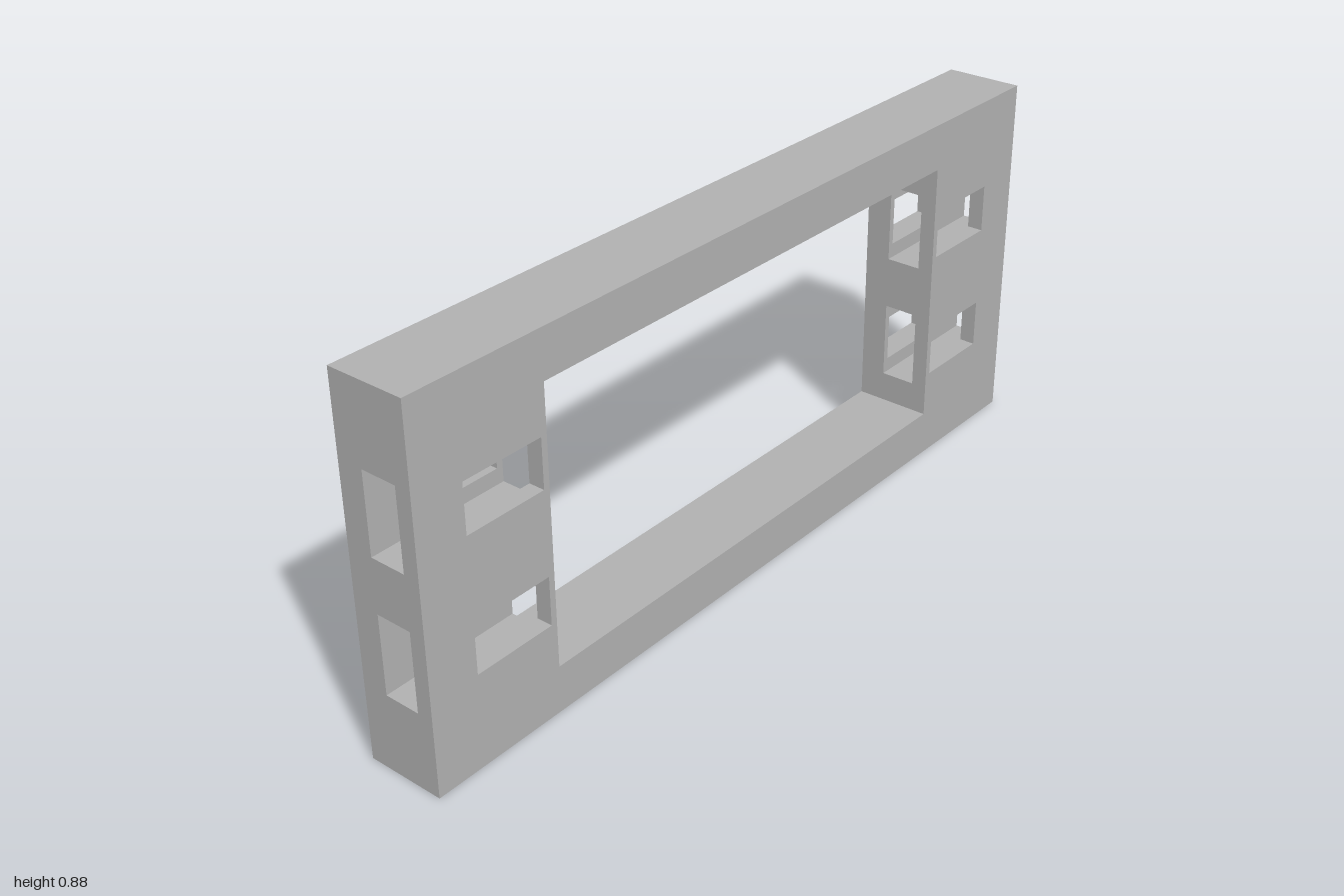
import * as THREE from 'three';
import { mergeGeometries } from 'three/addons/utils/BufferGeometryUtils.js';

// Main dimensions
const W = 1, H = 0.877, D = 0.0945;               // half width, height, half depth
const WIN = { x: 0.66, y0: 0.112, y1: 0.765 };    // central window
const SLOT = { x0: 0.675, x1: 0.878, h: 0.058 };  // front-to-back slots
const TUN = { z0: -0.031, z1: 0.056, h: 0.094 };  // sideways tunnels
const LEVELS = [0.28, 0.595];                     // heights of both openings

// Rectangle [u0, v0, u1, v1] as a point loop
const loop = ([a, b, c, d]) => [[a, b], [c, b], [c, d], [a, d]].map(p => new THREE.Vector2(...p));

// Flat wall at a coordinate of one axis, facing sign; (u, v) are z: xy, x: yz, y: zx
function wall(axis, sign, at, rect, holes = []) {
  const shape = new THREE.Shape(loop(rect));
  holes.forEach(h => shape.holes.push(new THREE.Path(loop(h))));
  const g = new THREE.ShapeGeometry(shape);
  const X = new THREE.Vector3(1, 0, 0), Y = new THREE.Vector3(0, 1, 0), Z = new THREE.Vector3(0, 0, 1);
  const basis = { x: [Y, Z, X], y: [Z, X, Y], z: [X, Y, Z] }[axis];
  g.translate(0, 0, at);
  g.applyMatrix4(new THREE.Matrix4().makeBasis(...basis));
  if (sign < 0) g.index.array.reverse();
  g.computeVertexNormals();
  return g;
}

// Four walls of a rectangular passage along z; dir 1 faces inward, -1 outward
const ring = (x0, x1, y0, y1, z0, z1, dir = 1) => [
  wall('x', dir, x0, [y0, z0, y1, z1]),
  wall('x', -dir, x1, [y0, z0, y1, z1]),
  wall('y', dir, y0, [z0, x0, z1, x1]),
  wall('y', -dir, y1, [z0, x0, z1, x1]),
];

export function createModel() {
  const group = new THREE.Group();
  const grey = new THREE.MeshStandardMaterial({ color: 0xb0b0b0 });
  grey.name = 'plain grey';
  const add = (name, parts) => {
    const mesh = new THREE.Mesh(mergeGeometries(parts), grey);
    mesh.name = name;
    group.add(mesh);
  };

  // Openings as seen from the front and from the side
  const slotRect = (s, y) => {
    const [a, b] = s > 0 ? [SLOT.x0, SLOT.x1] : [-SLOT.x1, -SLOT.x0];
    return [a, y - SLOT.h, b, y + SLOT.h];
  };
  const faceHoles = [[-WIN.x, WIN.y0, WIN.x, WIN.y1]];
  for (const s of [-1, 1]) for (const y of LEVELS) faceHoles.push(slotRect(s, y));
  const sideHoles = LEVELS.map(y => [y - TUN.h, TUN.z0, y + TUN.h, TUN.z1]);

  // Broad faces
  add('frontFace', [wall('z', 1, D, [-W, 0, W, H], faceHoles)]);
  add('backFace', [wall('z', -1, -D, [-W, 0, W, H], faceHoles)]);

  // Outer rim: top, bottom and pierced ends
  add('outerRim', [
    wall('y', 1, H, [-D, -W, D, W]),
    wall('y', -1, 0, [-D, -W, D, W]),
    ...[-1, 1].map(s => wall('x', s, s * W, [0, -D, H, D], sideHoles)),
  ]);

  // Window reveal with tunnel mouths in its uprights
  add('windowReveal', [
    wall('y', 1, WIN.y0, [-D, -WIN.x, D, WIN.x]),
    wall('y', -1, WIN.y1, [-D, -WIN.x, D, WIN.x]),
    ...[-1, 1].map(s => wall('x', -s, s * WIN.x, [WIN.y0, -D, WIN.y1, D], sideHoles)),
  ]);

  for (const s of [-1, 1]) for (const y of LEVELS) {
    const name = (s > 0 ? 'left' : 'right') + (y === LEVELS[0] ? 'Lower' : 'Upper');
    const slot = slotRect(s, y);
    const [x0, x1] = s > 0 ? [WIN.x, W] : [-W, -WIN.x];
    const [y0, y1] = [y - TUN.h, y + TUN.h];

    // Tunnel lining, open where the slot crosses it
    add(name + 'Tunnel', [
      wall('y', 1, y0, [TUN.z0, x0, TUN.z1, x1]),
      wall('y', -1, y1, [TUN.z0, x0, TUN.z1, x1]),
      wall('z', 1, TUN.z0, [x0, y0, x1, y1], [slot]),
      wall('z', -1, TUN.z1, [x0, y0, x1, y1], [slot]),
    ]);

    // Slot lining in front of and behind the tunnel
    const [a, b, c, d] = slot;
    add(name + 'Slot', [...ring(a, c, b, d, TUN.z1, D), ...ring(a, c, b, d, -D, TUN.z0)]);
  }
  return group;
}
